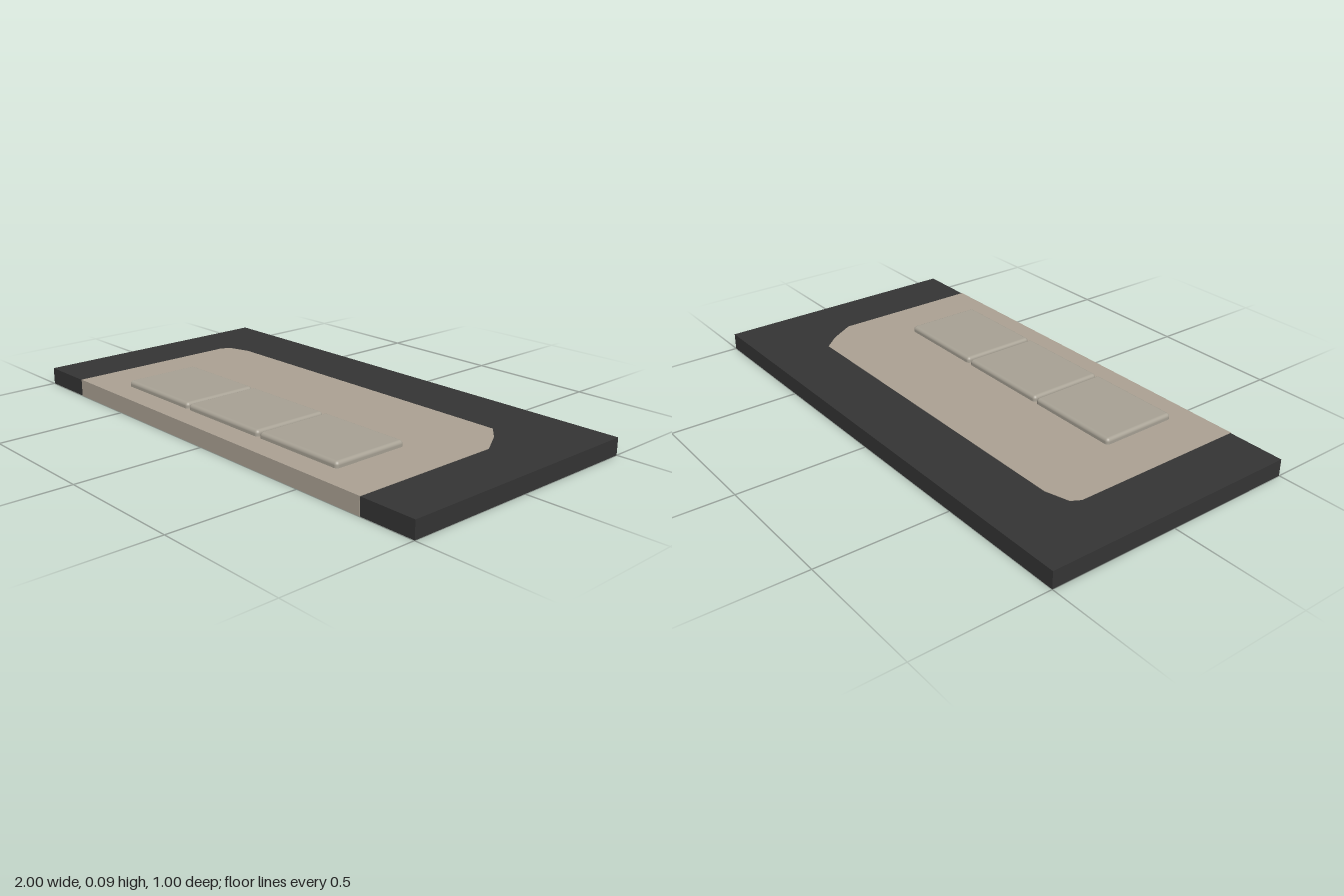
import * as THREE from 'three';
import { RoundedBoxGeometry } from 'three/addons/geometries/RoundedBoxGeometry.js';

const H = 0.066; // slab height
const SKIN = 0.0015; // thickness of the pale inlay

const material = (name, color) => {
  const m = new THREE.MeshStandardMaterial({ color });
  m.name = name;
  return m;
};

export function createModel() {
  const model = new THREE.Group();
  model.name = 'panel';
  const dark = material('charcoal', 0x353535);
  const pale = material('warm beige', 0xaca294);
  const tileColor = material('grey beige', 0xa8a295);

  const add = (name, geometry, mat, x, y, z) => {
    const mesh = new THREE.Mesh(geometry, mat);
    mesh.name = name;
    mesh.position.set(x, y, z);
    model.add(mesh);
    return mesh;
  };

  // Dark slab
  const bodyH = H - SKIN;
  add('slab', new THREE.BoxGeometry(2, bodyH, 1 - SKIN), dark, 0, bodyH / 2, -SKIN / 2);

  // Pale inlay on the top, with cut back corners (shape y is -z)
  const outline = [
    [-0.78, -0.5], [0.78, -0.5], [0.78, 0.09], [0.72, 0.19], [0.665, 0.252],
    [-0.67, 0.252], [-0.76, 0.225], [-0.78, 0.19],
  ].map(([x, y]) => new THREE.Vector2(x, y));
  const inlay = new THREE.ExtrudeGeometry(new THREE.Shape(outline), { depth: SKIN, bevelEnabled: false });
  inlay.rotateX(-Math.PI / 2);
  add('topInlay', inlay, pale, 0, bodyH, 0);

  // Inlay carried down the front edge
  add('frontInlay', new THREE.BoxGeometry(1.56, bodyH, SKIN), pale, 0, bodyH / 2, 0.5 - SKIN / 2);

  // Three raised tiles with softened edges, sunk into the slab
  const tiles = [['rightTile', -0.585, -0.207], ['middleTile', -0.2, 0.19], ['leftTile', 0.2, 0.58]];
  for (const [name, x0, x1] of tiles) {
    const geometry = new RoundedBoxGeometry(x1 - x0, 0.045, 0.305, 4, 0.013);
    add(name, geometry, tileColor, (x0 + x1) / 2, 0.088 - 0.0225, 0.2525);
  }
  return model;
}
